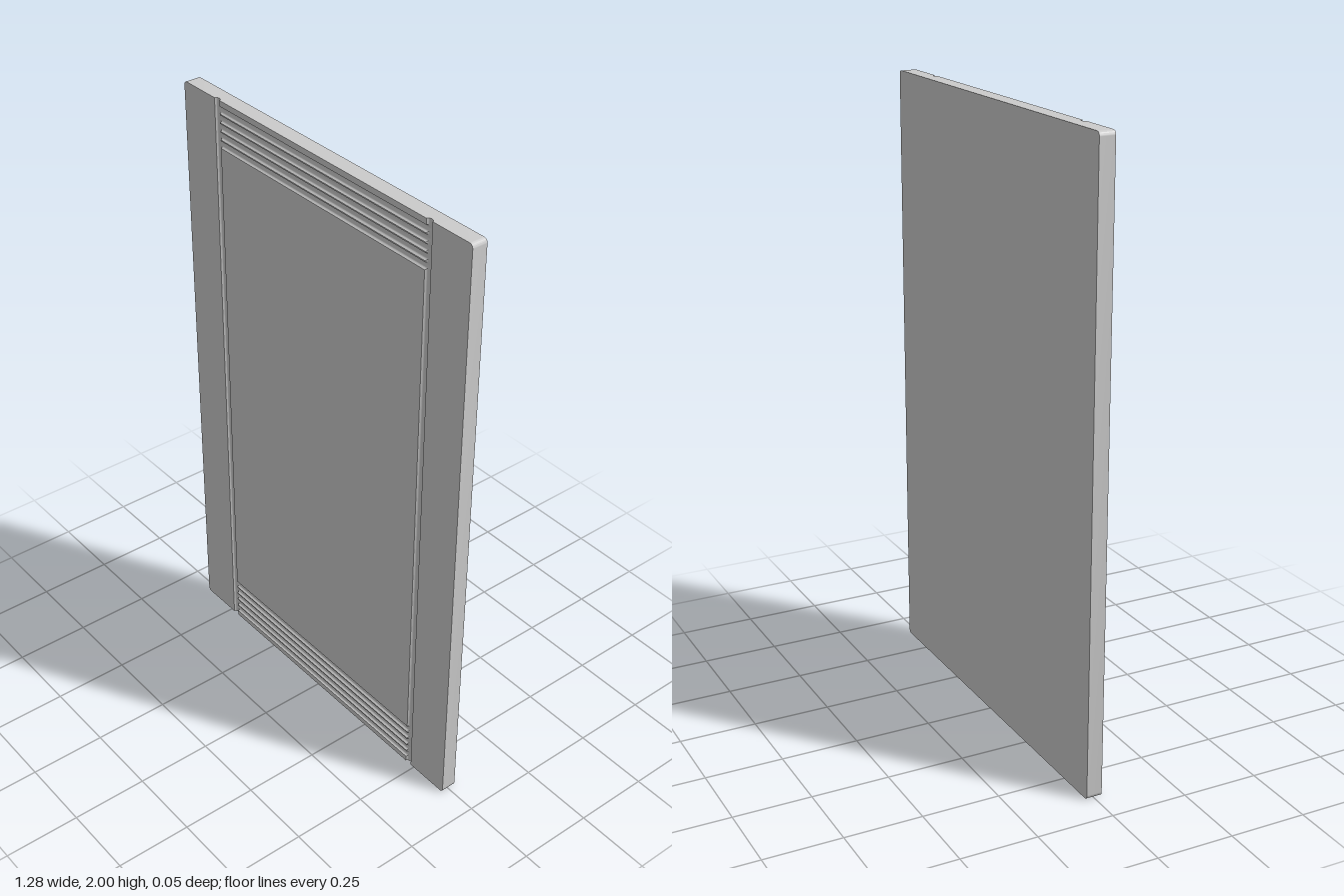
import * as THREE from 'three';
import { toCreasedNormals } from 'three/addons/utils/BufferGeometryUtils.js';

const W = 0.64, H = 2, T = 0.0255;          // half width, height, half thickness
const R = 0.012, DEPTH = 0.009;             // groove half width and depth
const GX = 0.473;                           // centre of the vertical grooves
const STILE = GX + R;                       // inner edge of the side stiles
const STEPS = 10;
const mat = new THREE.MeshStandardMaterial({ color: 0xcccccc });

// Five horizontal grooves near each end
const grooveYs = [];
for (let i = 0; i < 5; i++) {
  const y = 0.031 + i * 0.028;
  grooveYs.push(y, H - y);
}
grooveYs.sort((a, b) => a - b);

// Sample positions across a set of round grooves
const samples = (centres) => centres.flatMap((c) =>
  Array.from({ length: STEPS + 1 }, (_, k) => c - R * Math.cos((Math.PI * k) / STEPS)));

// Depth of the round groove nearest to t
const cut = (t, centres) => Math.max(...centres.map((c) =>
  DEPTH * Math.sqrt(Math.max(0, 1 - ((t - c) / R) ** 2))));

// Centre panel: grooved cross-sections lofted upwards, capped at both ends
function panelGeometry() {
  const xs = samples([-GX, GX]);
  const ys = [0, ...samples(grooveYs), H];
  const rows = ys.map((y) => {
    const ring = xs.map((x) => {
      const across = Math.abs(x) <= GX + 1e-6 ? cut(y, grooveYs) : 0;
      return new THREE.Vector3(x, y, T - Math.max(cut(x, [-GX, GX]), across));
    });
    ring.push(new THREE.Vector3(STILE, y, -T), new THREE.Vector3(-STILE, y, -T));
    return ring;
  });
  const pts = [];
  const n = rows[0].length;
  for (let j = 0; j < rows.length - 1; j++) {
    for (let i = 0; i < n; i++) {
      const k = (i + 1) % n;
      const a = rows[j][i], b = rows[j][k], c = rows[j + 1][k], d = rows[j + 1][i];
      pts.push(a, b, c, a, c, d);
    }
  }
  const top = rows[rows.length - 1], bottom = rows[0];
  const outline = top.map((p) => new THREE.Vector2(p.x, -p.z));
  for (const [a, b, c] of THREE.ShapeUtils.triangulateShape(outline, [])) {
    pts.push(top[a], top[b], top[c], bottom[a], bottom[c], bottom[b]);
  }
  return toCreasedNormals(new THREE.BufferGeometry().setFromPoints(pts), 0.6);
}

// Side stile: flat board with its two outer corners rounded
function stileGeometry(side) {
  const r = 0.014;
  const s = new THREE.Shape();
  s.moveTo(side * STILE, 0);
  s.lineTo(side * (W - r), 0);
  s.quadraticCurveTo(side * W, 0, side * W, r);
  s.lineTo(side * W, H - r);
  s.quadraticCurveTo(side * W, H, side * (W - r), H);
  s.lineTo(side * STILE, H);
  s.closePath();
  const geo = new THREE.ExtrudeGeometry(s, { depth: 2 * T, bevelEnabled: false, curveSegments: 6 });
  geo.translate(0, 0, -T);
  return toCreasedNormals(geo, 0.6);
}

export function createModel() {
  const group = new THREE.Group();
  group.name = 'groovedDoorPanel';
  const add = (name, geometry) => {
    const mesh = new THREE.Mesh(geometry, mat);
    mesh.name = name;
    group.add(mesh);
  };
  add('centrePanel', panelGeometry());
  add('leftStile', stileGeometry(1));
  add('rightStile', stileGeometry(-1));
  return group;
}
